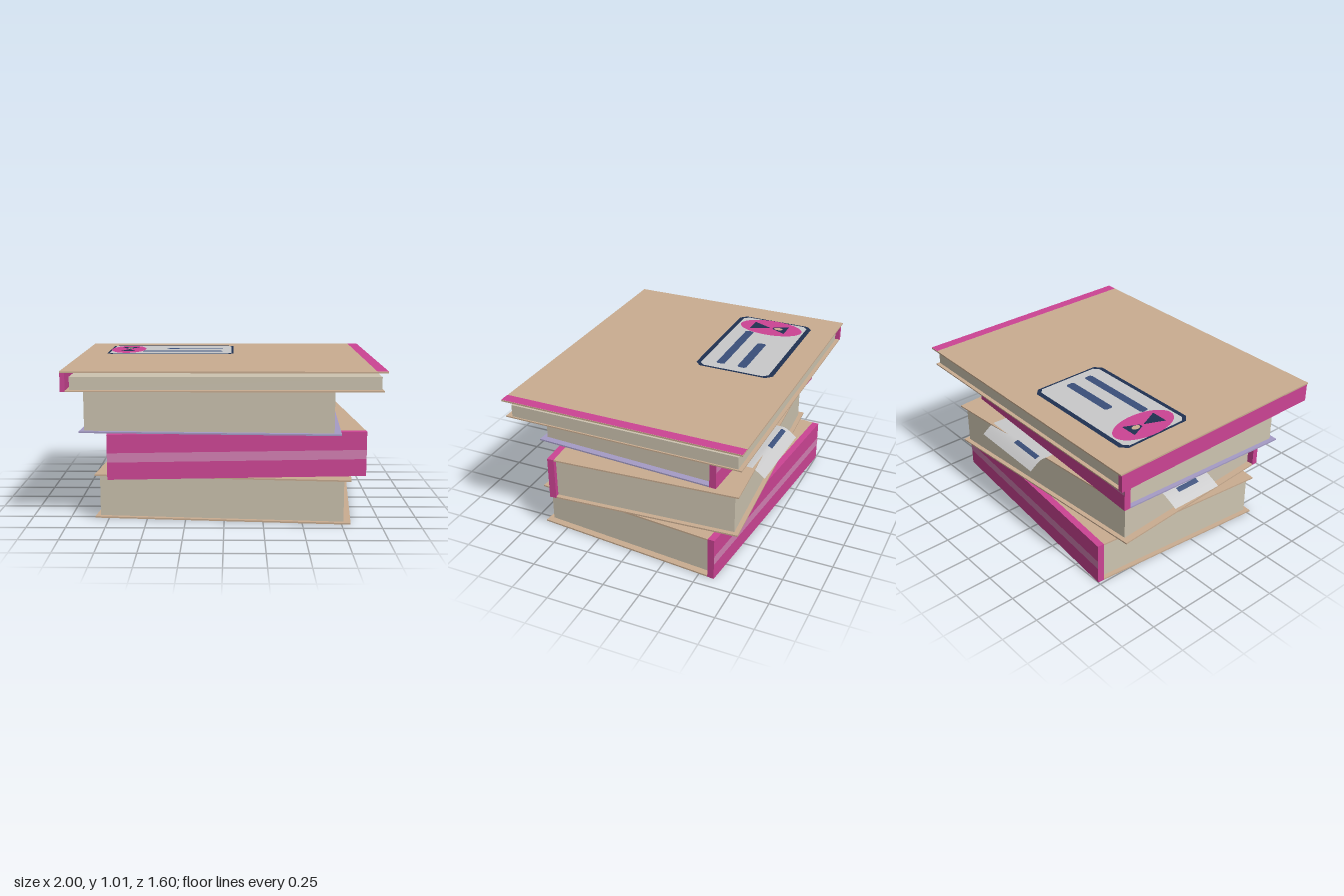
import * as THREE from 'three';

const mat = (name, color, side = THREE.FrontSide) => {
  const m = new THREE.MeshStandardMaterial({ color, side });
  m.name = name;
  return m;
};

export function createModel() {
  const tan = mat('tan cover', 0xcaad91);
  const lavender = mat('lavender cover', 0xa59cc6);
  const cream = mat('cream pages', 0xcdc4b0);
  const pink = mat('pink spine', 0xcc4494);
  const lightPink = mat('light pink band', 0xd27fb2);
  const paperGrey = mat('pale paper', 0xc9c9ca, THREE.DoubleSide);
  const navy = mat('navy ink', 0x1f3151);
  const blue = mat('blue ink', 0x3a4f7a, THREE.DoubleSide);

  const root = new THREE.Group();
  root.name = 'bookStack';

  // Box given by its minimum and maximum corners
  const box = (parent, name, material, [x0, y0, z0], [x1, y1, z1]) => {
    const mesh = new THREE.Mesh(new THREE.BoxGeometry(x1 - x0, y1 - y0, z1 - z0), material);
    mesh.position.set((x0 + x1) / 2, (y0 + y1) / 2, (z0 + z1) / 2);
    mesh.name = name;
    parent.add(mesh);
    return mesh;
  };

  // Closed book with its banded spine on the local -z side
  const book = (name, x, y, z, turn, height, coverMat) => {
    const g = new THREE.Group();
    g.name = name;
    const w = 0.8275, d = 0.64, t = 0.045, c = 0.01;
    box(g, 'spine', pink, [-w, 0, -d], [w, height, -d + t]);
    box(g, 'lowerCover', coverMat, [-w, 0, -d + t], [w, c, d]);
    box(g, 'upperCover', coverMat, [-w, height - c, -d + t], [w, height, d]);
    box(g, 'pages', cream, [-w + 0.03, c, -d + t], [w - 0.045, height - c, d - 0.03]);
    const band = new THREE.Mesh(new THREE.PlaneGeometry(2 * w, 0.06), lightPink);
    band.name = 'spineBand';
    band.rotation.y = Math.PI;
    band.position.set(0, 0.142, -d - 0.002);
    g.add(band);
    g.position.set(x, y, z);
    g.rotation.y = turn;
    root.add(g);
  };
  book('bottomBook', 0.039, 0, -0.04, -0.088, 0.29, tan);
  book('thirdBook', 0.0425, 0.292, -0.0225, Math.PI + 0.07, 0.29, tan);
  book('secondBook', -0.06, 0.586, 0.038, -0.05, 0.285, lavender);

  // Large thin book on top, spine at -x, lid resting above the pages
  const top = new THREE.Group();
  top.name = 'topBook';
  root.add(top);
  box(top, 'spine', pink, [-1, 0.872, -0.79], [-0.97, 0.99, 0.79]);
  box(top, 'lowerCover', tan, [-0.97, 0.872, -0.79], [0.98, 0.88, 0.79]);
  box(top, 'pages', cream, [-0.95, 0.88, -0.765], [0.97, 0.96, 0.75]);
  box(top, 'upperCover', tan, [-1, 0.99, -0.8], [1, 1, 0.8]);

  // Flat painted shapes on the lid, drawn in x and -z
  const plate = (name, material, shape, layer) => {
    const mesh = new THREE.Mesh(new THREE.ShapeGeometry(shape, 32), material);
    mesh.name = name;
    mesh.rotation.x = -Math.PI / 2;
    mesh.position.y = 1 + 0.0015 * layer;
    top.add(mesh);
  };
  const poly = (...pts) => new THREE.Shape(pts.map(([x, z]) => new THREE.Vector2(x, -z)));
  const chamfered = (x0, x1, z0, z1, c) => poly(
    [x0 + c, z1], [x1 - c, z1], [x1, z1 - c], [x1, z0 + c],
    [x1 - c, z0], [x0 + c, z0], [x0, z0 + c], [x0, z1 - c]);
  const ellipse = (x, z, rx, rz) => new THREE.Shape().absellipse(x, -z, rx, rz, 0, Math.PI * 2);

  plate('edgeStripe', pink, poly([0.93, 0.8], [1, 0.8], [1, -0.8], [0.93, -0.8]), 1);
  plate('labelBorder', navy, chamfered(-0.825, 0.058, -0.628, -0.088, 0.04), 1);
  plate('labelField', paperGrey, chamfered(-0.81, 0.043, -0.596, -0.118, 0.03), 2);
  plate('labelOval', pink, ellipse(-0.695, -0.358, 0.122, 0.225), 3);
  plate('hourglassTop', navy, poly([-0.75, -0.475], [-0.705, -0.375], [-0.68, -0.375], [-0.632, -0.475]), 4);
  plate('hourglassBottom', navy, poly([-0.75, -0.222], [-0.632, -0.222], [-0.692, -0.355]), 4);
  plate('hourglassDrop', tan, ellipse(-0.691, -0.415, 0.02, 0.03), 5);
  plate('labelLineShort', blue, chamfered(-0.42, -0.018, -0.424, -0.362, 0.012), 3);
  plate('labelLineLong', blue, chamfered(-0.583, -0.018, -0.272, -0.214, 0.012), 3);

  // Loose sheet drooping over a book edge, outward along local -z
  const sheet = (name, x, z, turn, width, length, bend, drop, line) => {
    const g = new THREE.Group();
    g.name = name;
    const strip = (partName, material, cx, w, from, to, lift) => {
      const geo = new THREE.PlaneGeometry(w, to - from, 1, 12);
      geo.rotateX(-Math.PI / 2);
      geo.translate(cx, 0, -(from + to) / 2);
      const p = geo.attributes.position;
      for (let i = 0; i < p.count; i++) {
        const over = Math.max(0, -p.getZ(i) - bend) / (length - bend);
        p.setY(i, lift - drop * Math.pow(over, 1.3));
      }
      geo.computeVertexNormals();
      const mesh = new THREE.Mesh(geo, material);
      mesh.name = partName;
      g.add(mesh);
    };
    strip('paper', paperGrey, 0, width, 0, length, 0);
    if (line) strip('writtenLine', blue, line[0], line[1], line[2] - 0.016, line[2] + 0.016, 0.003);
    g.position.set(x, 0.584, z);
    g.rotation.y = turn;
    root.add(g);
  };
  sheet('backSheet', 0.19, -0.5, -0.03, 0.57, 0.27, 0.18, 0.057, [-0.125, 0.25, 0.19]);
  sheet('sideSheet', -0.65, -0.155, Math.PI / 2, 0.37, 0.33, 0.19, 0.058, [0, 0.17, 0.24]);
  sheet('cornerSheet', -0.65, -0.48, Math.PI / 2, 0.24, 0.2, 0.16, 0.006);

  return root;
}
